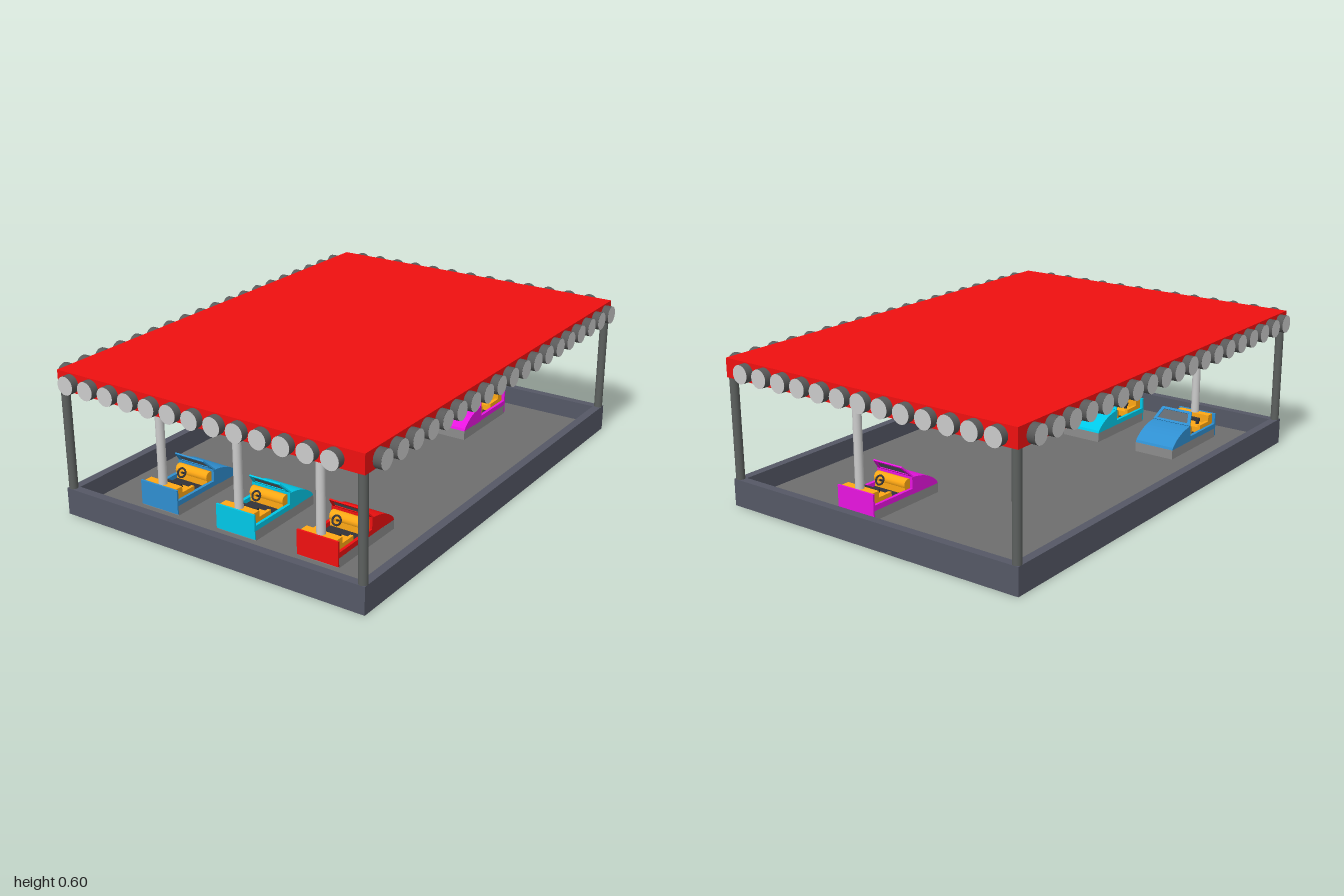
import * as THREE from 'three';

const mat = (color, opts = {}) => new THREE.MeshStandardMaterial({ color, ...opts });
const M = {
  grey: mat(0xcccccc), rim: mat(0x5a5a5a), post: mat(0x5c605e), base: mat(0x555866),
  floor: mat(0x6e6e6e), under: mat(0x3c3c3c), roof: mat(0xf01010), seat: mat(0xffa814),
  glass: mat(0x60666c, { side: THREE.DoubleSide }), dark: mat(0x333338), bumper: mat(0x8c8c8c),
};

function add(parent, name, geo, material, x = 0, y = 0, z = 0) {
  const m = new THREE.Mesh(geo, material);
  m.name = name;
  m.position.set(x, y, z);
  parent.add(m);
  return m;
}
const box = (w, h, d) => new THREE.BoxGeometry(w, h, d);
const cyl = (r, h, n = 24) => new THREE.CylinderGeometry(r, r, h, n);

// Trapezoid ring or pane, drawn in its own plane with its base on y = 0
function trapezoid(bottom, top, h, y0 = 0) {
  return [[-bottom, y0], [bottom, y0], [top, h], [-top, h]].map(p => new THREE.Vector2(...p));
}

// One car, facing +z, with the power pole at its local origin
function makeCar(color) {
  const car = new THREE.Group();
  car.name = 'bumperCar';
  const paint = mat(color);

  // bumper tray and cockpit floor
  add(car, 'bumper', box(0.18, 0.04, 0.365), M.bumper, 0, 0.05, 0.1625);
  add(car, 'cockpitFloor', box(0.15, 0.004, 0.2), M.dark, 0, 0.072, 0.1);

  // curved hood, extruded across the width
  const s = new THREE.Shape();
  s.moveTo(0.345, 0.068);
  s.lineTo(0.34, 0.08);
  s.quadraticCurveTo(0.29, 0.132, 0.195, 0.138);
  s.lineTo(0.195, 0.068);
  const hood = new THREE.ExtrudeGeometry(s, { depth: 0.18, bevelEnabled: false, curveSegments: 8 });
  hood.rotateY(-Math.PI / 2);
  hood.translate(0.09, 0, 0);
  add(car, 'hood', hood, paint);

  // low side sills
  for (const x of [-0.083, 0.083]) add(car, 'sideSill', box(0.014, 0.022, 0.215), paint, x, 0.08, 0.0875);

  // windshield leaning back over the cockpit
  const windshield = new THREE.Group();
  windshield.name = 'windshield';
  const frame = new THREE.Shape(trapezoid(0.09, 0.072, 0.066));
  frame.holes.push(new THREE.Path(trapezoid(0.073, 0.06, 0.055, 0.01)));
  add(windshield, 'windshieldFrame', new THREE.ExtrudeGeometry(frame, { depth: 0.006, bevelEnabled: false }), paint);
  add(windshield, 'windshieldGlass', new THREE.ShapeGeometry(new THREE.Shape(trapezoid(0.073, 0.06, 0.055, 0.01))), M.glass, 0, 0, 0.003);
  windshield.position.set(0, 0.136, 0.2);
  windshield.rotation.x = -0.76;
  car.add(windshield);

  // rounded dashboard and steering wheel
  add(car, 'dashboard', cyl(0.022, 0.156, 16).rotateZ(Math.PI / 2), M.seat, 0, 0.11, 0.184);
  add(car, 'dashboardPanel', box(0.156, 0.04, 0.03), M.seat, 0, 0.09, 0.18);
  const wheel = add(car, 'steeringWheel', new THREE.TorusGeometry(0.018, 0.004, 8, 20), M.dark, 0.035, 0.113, 0.148);
  wheel.rotation.x = 0.5;
  const column = add(car, 'steeringColumn', cyl(0.004, 0.03, 8), M.dark, 0.035, 0.106, 0.162);
  column.rotation.x = Math.PI / 2 + 0.5;

  // bench seat with backrest and arms
  add(car, 'seatCushion', box(0.15, 0.026, 0.07), M.seat, 0, 0.085, 0.055);
  add(car, 'seatBackrest', box(0.156, 0.065, 0.034), M.seat, 0, 0.1025, 0.003);
  for (const x of [-0.071, 0.071]) add(car, 'seatArm', box(0.014, 0.038, 0.07), M.seat, x, 0.09, 0.055);
  add(car, 'lapBar', box(0.1, 0.014, 0.014), M.dark, 0, 0.118, 0.048);
  for (const x of [-0.04, 0.04]) add(car, 'lapBarSupport', box(0.01, 0.04, 0.01), M.dark, x, 0.1, 0.048);

  // rear panel and pole reaching the ceiling
  add(car, 'rearPanel', box(0.18, 0.1, 0.008), paint, 0, 0.086, -0.0215);
  add(car, 'powerPole', cyl(0.0175, 0.45), M.grey, 0, 0.297, 0);
  return car;
}

// Round lamp facing +z, its back on z = 0
function makeLamp() {
  const lamp = new THREE.Group();
  lamp.name = 'lamp';
  add(lamp, 'lampHousing', cyl(0.037, 0.032).rotateX(Math.PI / 2), M.rim, 0, 0, 0.016);
  add(lamp, 'lampFace', new THREE.CircleGeometry(0.037, 24), M.grey, 0, 0, 0.0325);
  return lamp;
}

export function createModel() {
  const model = new THREE.Group();
  model.name = 'bumperCarRide';
  const X = 0.685, Z = 0.962, T = 0.035;

  // raised rim around a sunken floor
  for (const s of [-1, 1]) {
    add(model, 'baseSide', box(T, 0.11, 2 * Z), M.base, s * (X - T / 2), 0.055, 0);
    add(model, 'baseEnd', box(2 * (X - T), 0.11, T), M.base, 0, 0.055, s * (Z - T / 2));
  }
  add(model, 'floor', box(2 * (X - T), 0.012, 2 * (Z - T)), M.floor, 0, 0.024, 0);
  add(model, 'underside', box(2 * (X - T), 0.01, 2 * (Z - T)), M.under, 0, 0.013, 0);

  // corner posts and roof
  for (const sx of [-1, 1]) for (const sz of [-1, 1]) {
    add(model, 'cornerPost', cyl(T / 2, 0.412), M.post, sx * (X - T / 2), 0.315, sz * (Z - T / 2));
  }
  add(model, 'roof', box(2 * X, 0.077, 2 * Z), M.roof, 0, 0.5585, 0);

  // lamps along all four roof edges
  const step = 0.0986;
  const lampAt = (x, z, turn) => {
    const lamp = makeLamp();
    lamp.position.set(x, 0.5585, z);
    lamp.rotation.y = turn;
    model.add(lamp);
  };
  for (let i = 0; i < 13; i++) {
    const x = -0.612 + i * step;
    lampAt(x, 0.967, 0);
    lampAt(x, -0.967, Math.PI);
  }
  for (let i = 0; i < 19; i++) {
    const z = -0.886 + i * step;
    lampAt(0.69, z, Math.PI / 2);
    lampAt(-0.69, z, -Math.PI / 2);
  }

  // three cars facing the back, one facing the front
  const cars = [
    [0x2f8fd0, -0.37, 0.765, Math.PI], [0x00c8e8, 0, 0.765, Math.PI],
    [0xf01010, 0.37, 0.765, Math.PI], [0xe814e0, 0.182, -0.792, 0],
  ];
  for (const [color, x, z, turn] of cars) {
    const car = makeCar(color);
    car.position.set(x, 0, z);
    car.rotation.y = turn;
    model.add(car);
  }
  return model;
}
